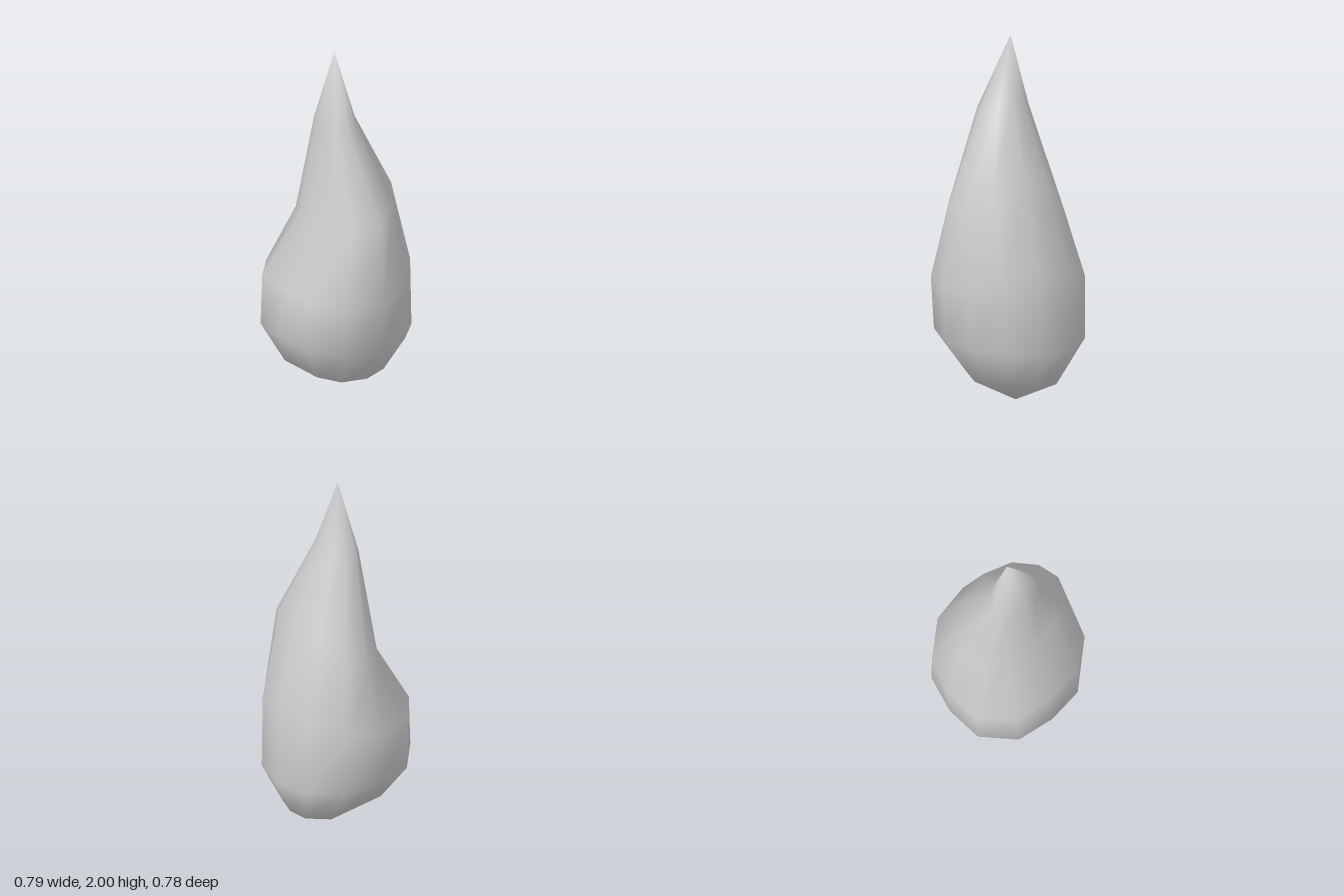
import * as THREE from 'three';

const SIDES = 12;

// Cross-sections from bottom to top. Each gives the reach and height of its
// front, back, left (+x) and right (-x) extremes, the front's flatness, and the
// swelling of its corners: front left, front right, back right, back left.
const RINGS = [
  { front: [0.26, 0.18], back: [-0.29, 0.14], left: [0.21, 0.13], right: [-0.23, 0.16], flat: 1, corners: [1.04, 1.22, 1.18, 0.96] },
  { front: [0.395, 0.41], back: [-0.39, 0.34], left: [0.375, 0.37], right: [-0.39, 0.35], flat: 1, corners: [1.05, 1.1, 1.04, 0.96] },
  { front: [0.375, 0.69], back: [-0.37, 0.78], left: [0.393, 0.66], right: [-0.4, 0.65], flat: 0.9, corners: [1.05, 1.1, 1.03, 0.96] },
  { front: [0.205, 1.07], back: [-0.22, 1.28], left: [0.35, 1.12], right: [-0.315, 0.99], flat: 0.55, corners: [0.92, 0.89, 0.97, 0.99] },
  { front: [0.165, 1.6], back: [-0.05, 1.65], left: [0.145, 1.6], right: [-0.14, 1.6], flat: 0.7, corners: [0.98, 0.78, 0.98, 0.97] },
];

function ringPoint(ring, angle) {
  const s = Math.sin(angle), c = Math.cos(angle);
  const cx = (ring.left[0] + ring.right[0]) / 2;
  const cz = (ring.front[0] + ring.back[0]) / 2;
  const rx = (ring.left[0] - ring.right[0]) / 2;
  const rz = (ring.front[0] - ring.back[0]) / 2;
  const depth = c > 0 ? Math.pow(c, ring.flat) : c;
  const corner = ring.corners[c > 0 ? (s > 0 ? 0 : 1) : (s > 0 ? 3 : 2)];
  const swell = 1 + (corner - 1) * Math.abs(Math.sin(2 * angle));
  const y = c * c * (c > 0 ? ring.front : ring.back)[1]
    + s * s * (s > 0 ? ring.left : ring.right)[1];
  return [cx + rx * s * swell, y, cz + rz * depth * swell];
}

function dropGeometry() {
  const positions = [-0.03, 0, -0.02];
  const index = [];
  for (const ring of RINGS) {
    for (let j = 0; j < SIDES; j++) {
      positions.push(...ringPoint(ring, (j / SIDES) * Math.PI * 2));
    }
  }
  const tip = 1 + RINGS.length * SIDES;
  positions.push(-0.025, 2, 0.03);

  const at = (i, j) => 1 + i * SIDES + (j % SIDES);
  for (let j = 0; j < SIDES; j++) {
    // bottom point
    index.push(0, at(0, j + 1), at(0, j));
    // sides
    for (let i = 0; i < RINGS.length - 1; i++) {
      index.push(at(i, j), at(i, j + 1), at(i + 1, j + 1));
      index.push(at(i, j), at(i + 1, j + 1), at(i + 1, j));
    }
    // tip
    index.push(at(RINGS.length - 1, j), at(RINGS.length - 1, j + 1), tip);
  }

  const geometry = new THREE.BufferGeometry();
  geometry.setAttribute('position', new THREE.Float32BufferAttribute(positions, 3));
  geometry.setIndex(index);
  geometry.computeVertexNormals();
  return geometry;
}

export function createModel() {
  const grey = new THREE.MeshStandardMaterial({ color: 0xcccccc });
  grey.name = 'light grey';

  const group = new THREE.Group();
  group.name = 'teardrop';
  const body = new THREE.Mesh(dropGeometry(), grey);
  body.name = 'dropBody';
  group.add(body);
  return group;
}
